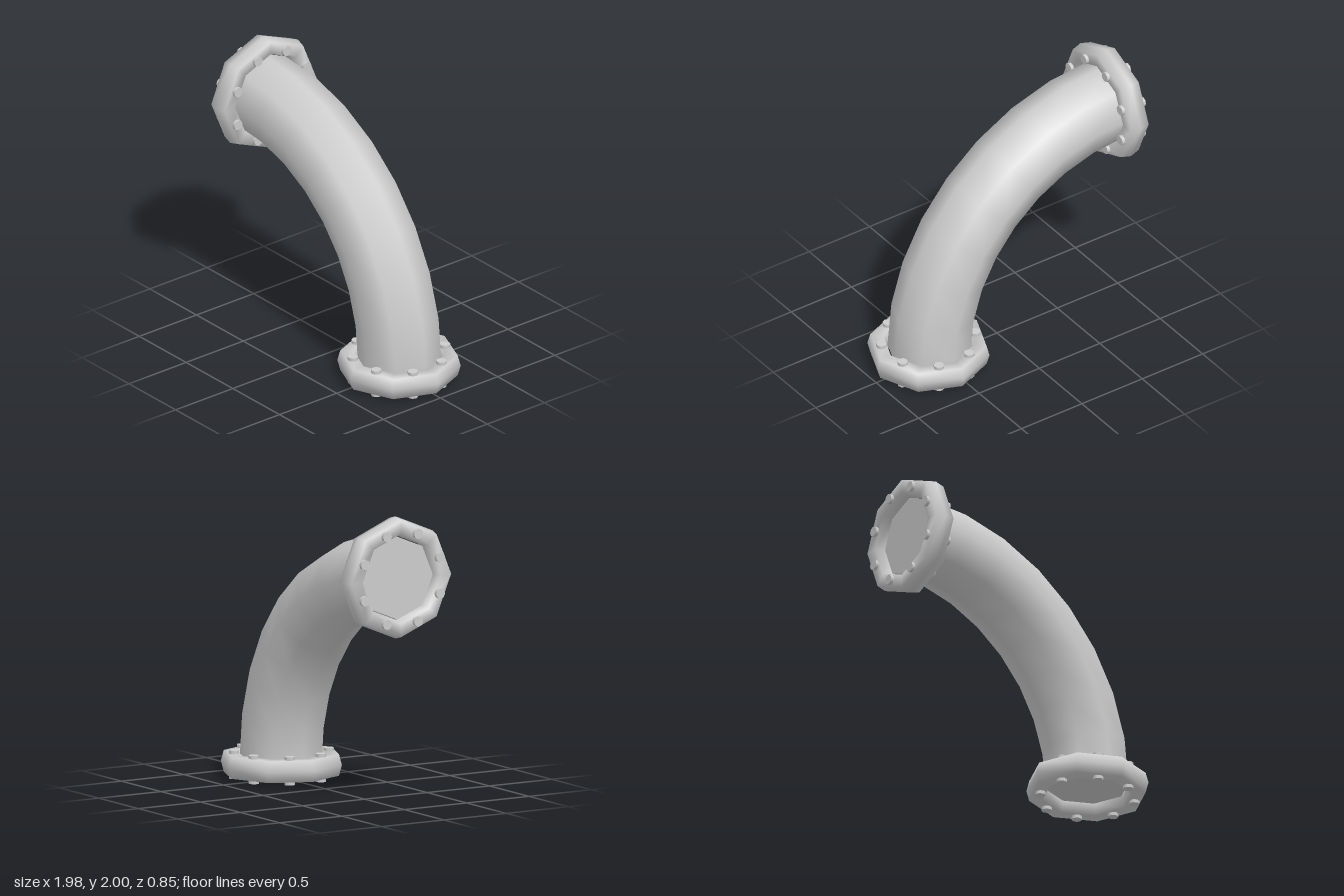
import * as THREE from 'three';
import { mergeVertices } from 'three/addons/utils/BufferGeometryUtils.js';

const SIDES = 8;
const PIPE_R = 0.285;
const BEND_R = 1.473;

const material = new THREE.MeshStandardMaterial({ color: 0xcccccc });

function mesh(name, geometry) {
  const m = new THREE.Mesh(geometry, material);
  m.name = name;
  return m;
}

// Smooth bevelled ring, hexagonal in section, octagonal in plan
function ringGeometry() {
  const profile = [
    [0.29, 0], [0.31, -0.074], [0.4, -0.074], [0.42, 0],
    [0.4, 0.074], [0.31, 0.074], [0.29, 0],
  ].map(([r, y]) => new THREE.Vector2(r, y));
  let g = new THREE.LatheGeometry(profile, SIDES);
  g.deleteAttribute('uv');
  g.deleteAttribute('normal');
  g = mergeVertices(g, 1e-4);
  g.computeVertexNormals();
  return g;
}

// Flange around the local y axis: ring, through bolts and pipe end
function createFlange(name) {
  const flange = new THREE.Group();
  flange.name = name;
  flange.add(mesh('flangeRing', ringGeometry()));

  const boltGeometry = new THREE.CylinderGeometry(0.036, 0.036, 0.194, 8);
  for (let i = 0; i < SIDES; i++) {
    const a = ((i + 0.5) / SIDES) * Math.PI * 2;
    const bolt = mesh('bolt', boltGeometry);
    bolt.position.set(Math.cos(a) * 0.326, 0, Math.sin(a) * 0.326);
    flange.add(bolt);
  }
  return flange;
}

export function createModel() {
  const model = new THREE.Group();
  model.name = 'pipeElbow';

  // Quarter-circle bend
  const bend = new THREE.Group();
  bend.name = 'pipeBend';
  bend.position.set(-0.91, 0.105, 0);
  bend.add(mesh('pipe', new THREE.TorusGeometry(BEND_R, PIPE_R, SIDES, 8, Math.PI / 2)));

  // Flat ends closing the pipe inside the flanges
  const lowerEnd = mesh('lowerPipeEnd', new THREE.CircleGeometry(PIPE_R, SIDES));
  lowerEnd.rotation.x = Math.PI / 2;
  lowerEnd.position.x = BEND_R;
  const upperEnd = mesh('upperPipeEnd', new THREE.CircleGeometry(PIPE_R, SIDES));
  upperEnd.rotation.y = -Math.PI / 2;
  upperEnd.position.y = BEND_R;
  bend.add(lowerEnd, upperEnd);
  model.add(bend);

  // Flanges at both ends
  const lower = createFlange('lowerFlange');
  lower.position.set(0.563, 0.097, 0.006);
  const upper = createFlange('upperFlange');
  upper.rotation.z = Math.PI / 2;
  upper.position.set(-0.897, 1.581, -0.006);
  model.add(lower, upper);

  return model;
}
